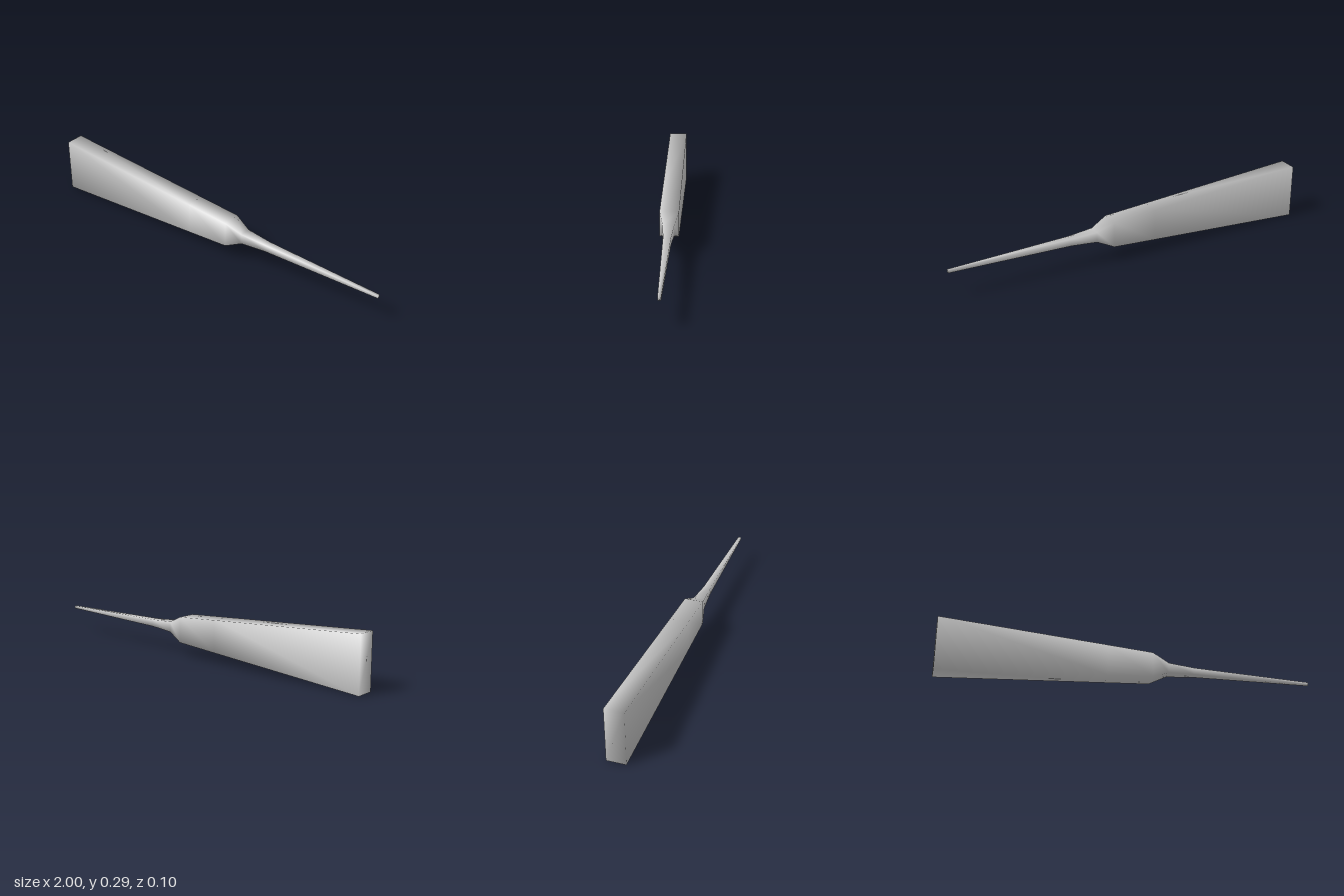
import * as THREE from 'three';

// Rectangular sections along x: [x, half height, half depth]
const SECTIONS = [
  [-1, 0.147, 0.05],
  [-0.12, 0.086, 0.05],
  [0.12, 0.069, 0.05],
  [0.21, 0.028, 0.03],
  [0.35, 0.019, 0.02],
  [1, 0.007, 0.008],
];
const MID_Y = 0.147;

// Joins the sections into one closed skin with shared, smooth corners
function loftSections(sections) {
  const positions = [];
  const index = [];
  for (const [x, h, d] of sections) {
    for (const [sy, sz] of [[1, 1], [1, -1], [-1, -1], [-1, 1]]) {
      positions.push(x, MID_Y + sy * h, sz * d);
    }
  }
  for (let i = 0; i < sections.length - 1; i++) {
    for (let j = 0; j < 4; j++) {
      const a = i * 4 + j;
      const b = i * 4 + ((j + 1) % 4);
      index.push(a, a + 4, b, b, a + 4, b + 4);
    }
  }
  // End caps
  const e = (sections.length - 1) * 4;
  index.push(0, 1, 2, 0, 2, 3);
  index.push(e, e + 2, e + 1, e, e + 3, e + 2);

  const geometry = new THREE.BufferGeometry();
  geometry.setAttribute('position', new THREE.Float32BufferAttribute(positions, 3));
  geometry.setIndex(index);
  geometry.computeVertexNormals();
  return geometry;
}

export function createModel() {
  const group = new THREE.Group();
  group.name = 'taperedSpike';

  // Flared block, shoulder and slender point in a single skin
  const body = new THREE.Mesh(
    loftSections(SECTIONS),
    new THREE.MeshStandardMaterial({ color: 0xcccccc })
  );
  body.name = 'taperedBody';
  group.add(body);
  return group;
}
